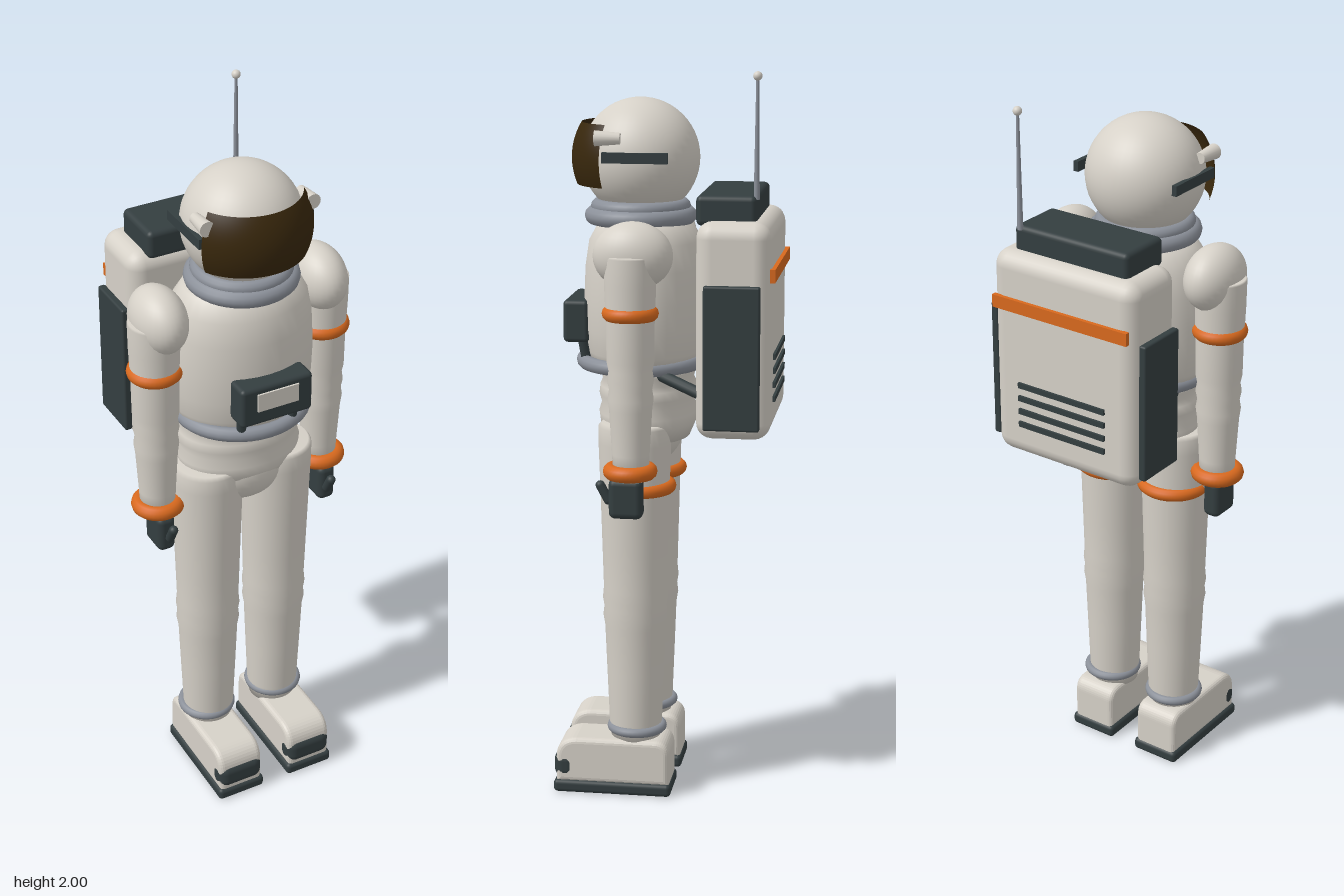
import * as THREE from 'three';
import { RoundedBoxGeometry } from 'three/addons/geometries/RoundedBoxGeometry.js';

export function createModel() {
  const root = new THREE.Group();
  root.name = 'astronaut';
  const mat = (name, color, extra = {}) => {
    const m = new THREE.MeshStandardMaterial({ color, ...extra });
    m.name = name;
    return m;
  };
  const white = mat('suitWhite', 0xd6d1c8);
  const dark = mat('darkRubber', 0x343e40);
  const orange = mat('orangeBand', 0xd8691e);
  const grey = mat('metalGrey', 0x8b9099);
  const gold = mat('visorGold', 0x38270c, { side: THREE.DoubleSide });

  const add = (name, geo, material, x = 0, y = 0, z = 0) => {
    const m = new THREE.Mesh(geo, material);
    m.name = name;
    m.position.set(x, y, z);
    root.add(m);
    return m;
  };
  const rbox = (w, h, d, r) => new RoundedBoxGeometry(w, h, d, 3, r);
  const ball = (rx, ry, rz) => new THREE.SphereGeometry(1, 32, 20).scale(rx, ry, rz);
  // horizontal ring, optionally squashed in depth
  const ring = (r, tube, depth = 1, arc = Math.PI * 2) =>
    new THREE.TorusGeometry(r, tube, 12, 40, arc).rotateX(Math.PI / 2).scale(1, 1, depth);
  // smooth turned body from [radius, y] pairs listed bottom to top
  const turned = (pts, depth = 1) =>
    new THREE.LatheGeometry(pts.map(p => new THREE.Vector2(...p)), 36).scale(1, 1, depth);
  const rod = (name, a, b, r0, r1, material) => {
    const p = new THREE.Vector3(...a), q = new THREE.Vector3(...b);
    const d = q.clone().sub(p);
    const m = add(name, new THREE.CylinderGeometry(r1, r0, d.length(), 12), material);
    m.position.copy(p).add(q).multiplyScalar(0.5);
    m.quaternion.setFromUnitVectors(new THREE.Vector3(0, 1, 0), d.normalize());
    return m;
  };

  // Helmet and visor
  add('helmet', new THREE.SphereGeometry(0.16, 40, 28), white, 0, 1.76, 0.08);
  const half = 1.1;
  add('visor', new THREE.SphereGeometry(0.18, 36, 16, Math.PI / 2 - half, half * 2, 1.01, 0.96),
    gold, 0, 1.76, 0.085);
  add('neckRing', ring(0.128, 0.024), grey, 0, 1.605, 0.08);
  add('neckRingUpper', ring(0.115, 0.02), grey, 0, 1.63, 0.08);

  // Torso, belly and pelvis
  add('torso', turned([[0, 1.6], [0.12, 1.6], [0.155, 1.585], [0.185, 1.54], [0.198, 1.47], [0.203, 1.38],
    [0.2, 1.3], [0.19, 1.24], [0.175, 1.2], [0, 1.2]].reverse(), 0.82), white, 0, 0, 0.067);
  add('waistRing', ring(0.172, 0.02, 0.93), grey, 0, 1.21, 0.078);
  add('belly', turned([[0, 1.0], [0.15, 1.0], [0.172, 1.04], [0.177, 1.07], [0.167, 1.095], [0.176, 1.12],
    [0.172, 1.145], [0.163, 1.16], [0.172, 1.185], [0.17, 1.21], [0, 1.21]], 0.76), white, 0, 0, 0.06);
  add('pelvis', ball(0.13, 0.12, 0.115), white, 0, 1.03, 0.075);

  // Chest control box
  add('chestBox', rbox(0.21, 0.115, 0.07, 0.012), dark, 0, 1.325, 0.243);
  add('chestDisplay', new THREE.BoxGeometry(0.12, 0.052, 0.006), white, 0, 1.338, 0.28);

  // Life support pack
  add('backpack', rbox(0.46, 0.58, 0.2, 0.045), white, 0, 1.325, -0.195);
  add('packTop', rbox(0.36, 0.08, 0.16, 0.015), dark, 0, 1.64, -0.172);
  add('packStripe', new THREE.BoxGeometry(0.43, 0.035, 0.014), orange, 0, 1.477, -0.299);
  for (let i = 0; i < 4; i++)
    add('packVent', new THREE.BoxGeometry(0.28, 0.015, 0.012), dark, 0, 1.25 - i * 0.038, -0.296);
  rod('antenna', [0.16, 1.67, -0.25], [0.16, 1.99, -0.25], 0.008, 0.004, grey);
  add('antennaTip', ball(0.012, 0.012, 0.012), white, 0.16, 1.988, -0.25);

  // Boot side outline, drawn as (z, y)
  const bootShape = new THREE.Shape();
  bootShape.moveTo(-0.005, 0.045);
  bootShape.lineTo(-0.005, 0.12);
  bootShape.quadraticCurveTo(-0.005, 0.145, 0.02, 0.145);
  bootShape.lineTo(0.24, 0.145);
  bootShape.quadraticCurveTo(0.283, 0.142, 0.283, 0.1);
  bootShape.lineTo(0.283, 0.045);
  const bootGeo = new THREE.ExtrudeGeometry(bootShape, {
    depth: 0.105, bevelSize: 0.015, bevelThickness: 0.015, bevelSegments: 4, curveSegments: 10,
  }).translate(0, 0, -0.0525).rotateY(-Math.PI / 2);

  // Paired parts
  for (const s of [1, -1]) {
    const side = s > 0 ? 'left' : 'right';
    const put = (name, geo, m, x, y, z) => add(side + name, geo, m, s * x, y, z);

    // helmet fittings
    put('HelmetLamp', new THREE.CylinderGeometry(0.021, 0.015, 0.068, 16).rotateX(Math.PI / 2),
      white, 0.15, 1.822, 0.145);
    put('HelmetRail', new THREE.BoxGeometry(0.014, 0.028, 0.175), dark, 0.157, 1.772, 0.072);

    // hoses under the chest box, pack straps and pack panels
    rod(side + 'ChestHose', [s * 0.08, 1.28, 0.23], [s * 0.075, 1.22, 0.22], 0.013, 0.013, dark);
    rod(side + 'PackStrap', [s * 0.195, 1.15, -0.12], [s * 0.145, 1.195, 0.01], 0.016, 0.016, dark);
    put('PackPanel', rbox(0.022, 0.385, 0.15, 0.006), dark, 0.239, 1.26, -0.195);

    // arm
    put('Shoulder', ball(0.072, 0.09, 0.106), white, 0.235, 1.527, 0.065);
    put('Arm', turned([[0, 0.93], [0.047, 0.93], [0.05, 1.0], [0.057, 1.12], [0.061, 1.15], [0.057, 1.175],
      [0.062, 1.2], [0.058, 1.225], [0.063, 1.25], [0.064, 1.35], [0.068, 1.45], [0.069, 1.525],
      [0.066, 1.53], [0, 1.53]]), white, 0.25, 0, 0.07);
    put('UpperArmBand', ring(0.055, 0.02), orange, 0.25, 1.378, 0.07);
    put('WristBand', ring(0.052, 0.021), orange, 0.25, 0.953, 0.072);
    put('Hand', rbox(0.052, 0.11, 0.092, 0.018), dark, 0.25, 0.878, 0.083);
    const thumb = put('Thumb', new THREE.CapsuleGeometry(0.013, 0.045, 6, 12), dark, 0.245, 0.89, 0.143);
    thumb.rotation.x = -2.65;

    // leg
    put('Leg', turned([[0, 0.15], [0.068, 0.15], [0.073, 0.2], [0.079, 0.35], [0.084, 0.48], [0.089, 0.51],
      [0.086, 0.535], [0.09, 0.56], [0.087, 0.59], [0.09, 0.7], [0.095, 0.88], [0.099, 1.0],
      [0.099, 1.045], [0.09, 1.055], [0, 1.055]]), white, 0.106, 0, 0.082);
    const band = put('ThighBand', ring(0.086, 0.018, 1, Math.PI), orange, 0.106, 0.878, 0.073);
    band.rotation.y = Math.PI;
    put('AnkleRing', ring(0.07, 0.013), grey, 0.11, 0.185, 0.078);

    // boot
    put('Boot', bootGeo, white, 0.112, 0, 0);
    put('ToeCap', rbox(0.138, 0.08, 0.065, 0.028), dark, 0.112, 0.077, 0.273);
    put('Sole', rbox(0.145, 0.036, 0.33, 0.012), dark, 0.112, 0.018, 0.14);
  }
  return root;
}
